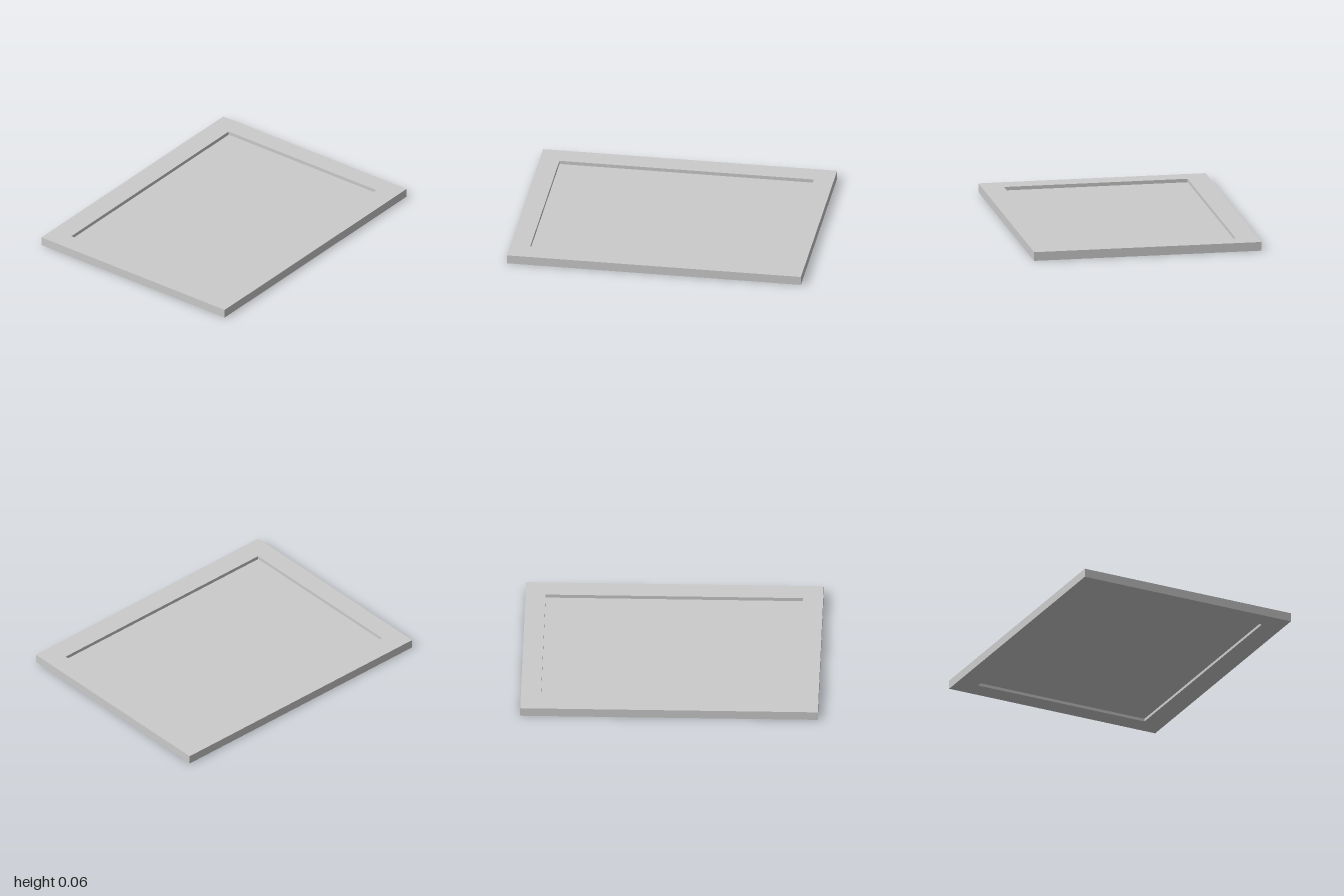
import * as THREE from 'three';

const WIDTH = 2, DEPTH = 1.555, HEIGHT = 0.06;
const OPEN_W = 1.73, OPEN_D = 1.255;
const PANEL_Y0 = 0.02, PANEL_Y1 = 0.036;

// Traces a centred rectangle on a Shape or Path
function rect(path, w, d) {
  path.moveTo(-w / 2, -d / 2);
  path.lineTo(w / 2, -d / 2);
  path.lineTo(w / 2, d / 2);
  path.lineTo(-w / 2, d / 2);
  path.closePath();
  return path;
}

export function createModel() {
  const group = new THREE.Group();
  group.name = 'framedPanel';
  const material = new THREE.MeshStandardMaterial({ color: 0xcccccc });

  // Flat rectangular border with a sharp-edged opening
  const outline = rect(new THREE.Shape(), WIDTH, DEPTH);
  outline.holes.push(rect(new THREE.Path(), OPEN_W, OPEN_D));
  const frameGeometry = new THREE.ExtrudeGeometry(outline, { depth: HEIGHT, bevelEnabled: false });
  frameGeometry.rotateX(-Math.PI / 2);
  const frame = new THREE.Mesh(frameGeometry, material);
  frame.name = 'frame';
  group.add(frame);

  // Thin panel filling the opening, recessed on both faces
  const panel = new THREE.Mesh(
    new THREE.BoxGeometry(OPEN_W, PANEL_Y1 - PANEL_Y0, OPEN_D),
    material
  );
  panel.name = 'panel';
  panel.position.y = (PANEL_Y0 + PANEL_Y1) / 2;
  group.add(panel);

  return group;
}
